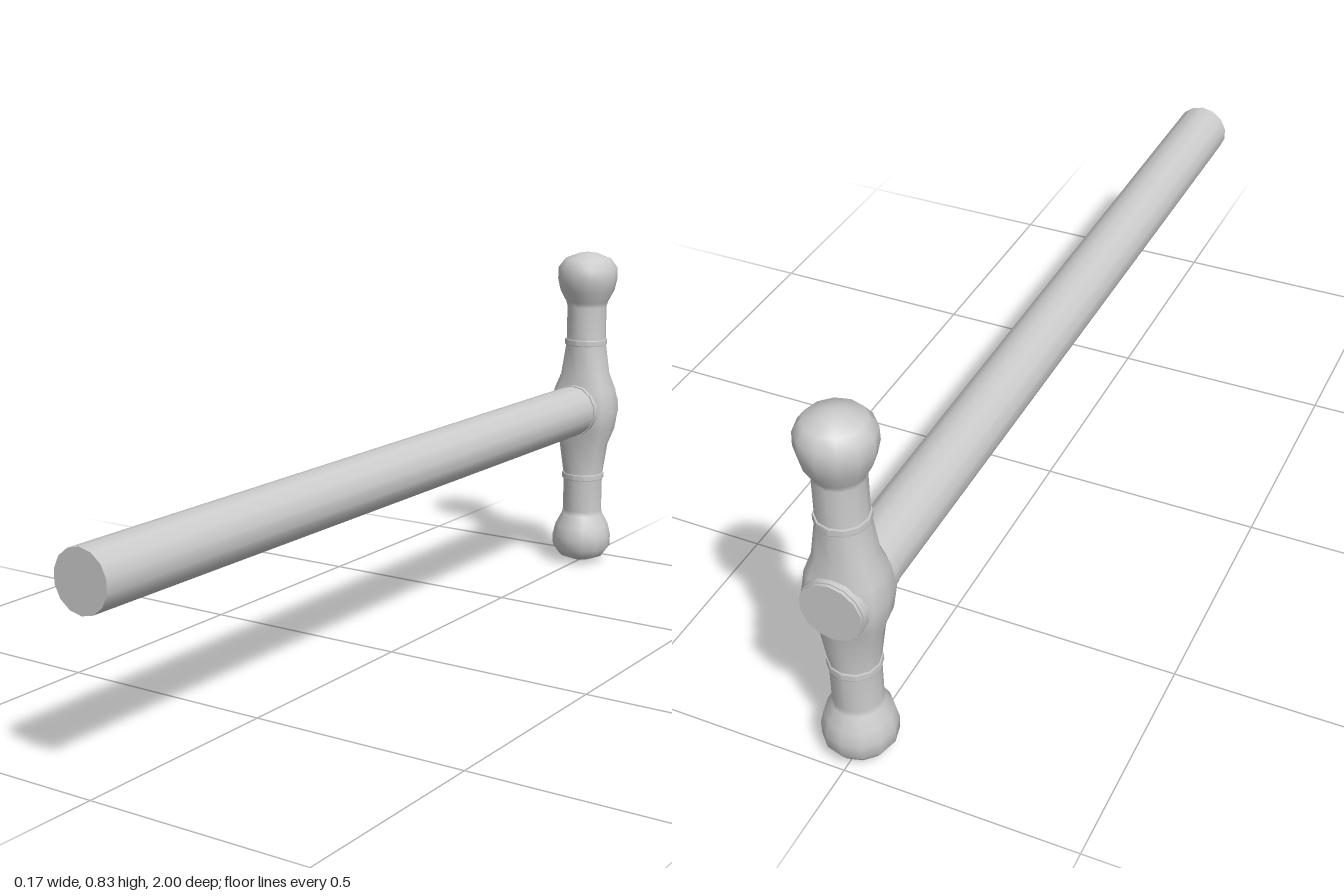
import * as THREE from 'three';
import { mergeVertices, toCreasedNormals } from 'three/addons/utils/BufferGeometryUtils.js';

const MID = 0.415, HEAD_Z = -0.925, SIDES = 12;

export function createModel() {
  const group = new THREE.Group();
  const material = new THREE.MeshStandardMaterial({ color: 0xcccccc });
  const add = (name, geometry, y, z) => {
    const mesh = new THREE.Mesh(geometry, material);
    mesh.name = name;
    mesh.position.set(0, y, z);
    group.add(mesh);
    return mesh;
  };

  // Head: lower half profile [radius, height], mirrored upwards
  const half = [
    [0, 0], [0.025, 0.004], [0.059, 0.017], [0.076, 0.04], [0.077, 0.07],
    [0.07, 0.1], [0.054, 0.13], [0.051, 0.142], [0.051, 0.235],
    [0.061, 0.32], [0.076, 0.362],
  ];
  const profile = [...half, [0.084, MID], ...half.map(([r, y]) => [r, 2 * MID - y]).reverse()];
  let head = new THREE.LatheGeometry(
    profile.map(([r, y]) => new THREE.Vector2(r, y - MID)), SIDES);

  // Cheeks: the middle swells into a flattened, squarish section
  const pos = head.attributes.position;
  const squash = (v, power) => Math.sign(v) * Math.abs(v) ** power;
  for (let i = 0; i < pos.count; i++) {
    const x = pos.getX(i), y = pos.getY(i), z = pos.getZ(i);
    const weight = THREE.MathUtils.clamp((0.17 - Math.abs(y)) / 0.11, 0, 1);
    const r = Math.hypot(x, z);
    if (weight === 0 || r === 0) continue;
    pos.setX(i, THREE.MathUtils.lerp(x, r * squash(x / r, 0.6), weight));
    pos.setZ(i, THREE.MathUtils.lerp(z, r * 0.84 * squash(z / r, 0.7), weight));
  }
  head.deleteAttribute('uv');
  head.deleteAttribute('normal');
  head = mergeVertices(head, 1e-5);
  head.computeVertexNormals();
  add('hammerHead', head, MID, HEAD_Z);

  // Raised bands where the necks meet the cheeks
  const band = [[0.048, -0.008], [0.054, -0.008], [0.055, -0.006], [0.055, 0.006], [0.054, 0.008], [0.048, 0.008]];
  for (const side of [-1, 1]) {
    const ring = new THREE.LatheGeometry(band.map(([r, y]) => new THREE.Vector2(r, y)), SIDES);
    add(side < 0 ? 'lowerBand' : 'upperBand', toCreasedNormals(ring, 0.6), MID + side * 0.18, HEAD_Z);
  }

  // Handle: straight round bar passing through the head
  const bar = new THREE.CylinderGeometry(0.065, 0.065, 2, 14);
  bar.rotateX(Math.PI / 2);
  add('handle', bar, 0.419, 0).position.x = -0.002;

  // Eye: slim collar around the handle inside the head
  const eye = new THREE.CylinderGeometry(0.068, 0.068, 0.138, 14);
  eye.rotateX(Math.PI / 2);
  add('eyeCollar', eye, 0.419, HEAD_Z).position.x = -0.002;

  return group;
}
